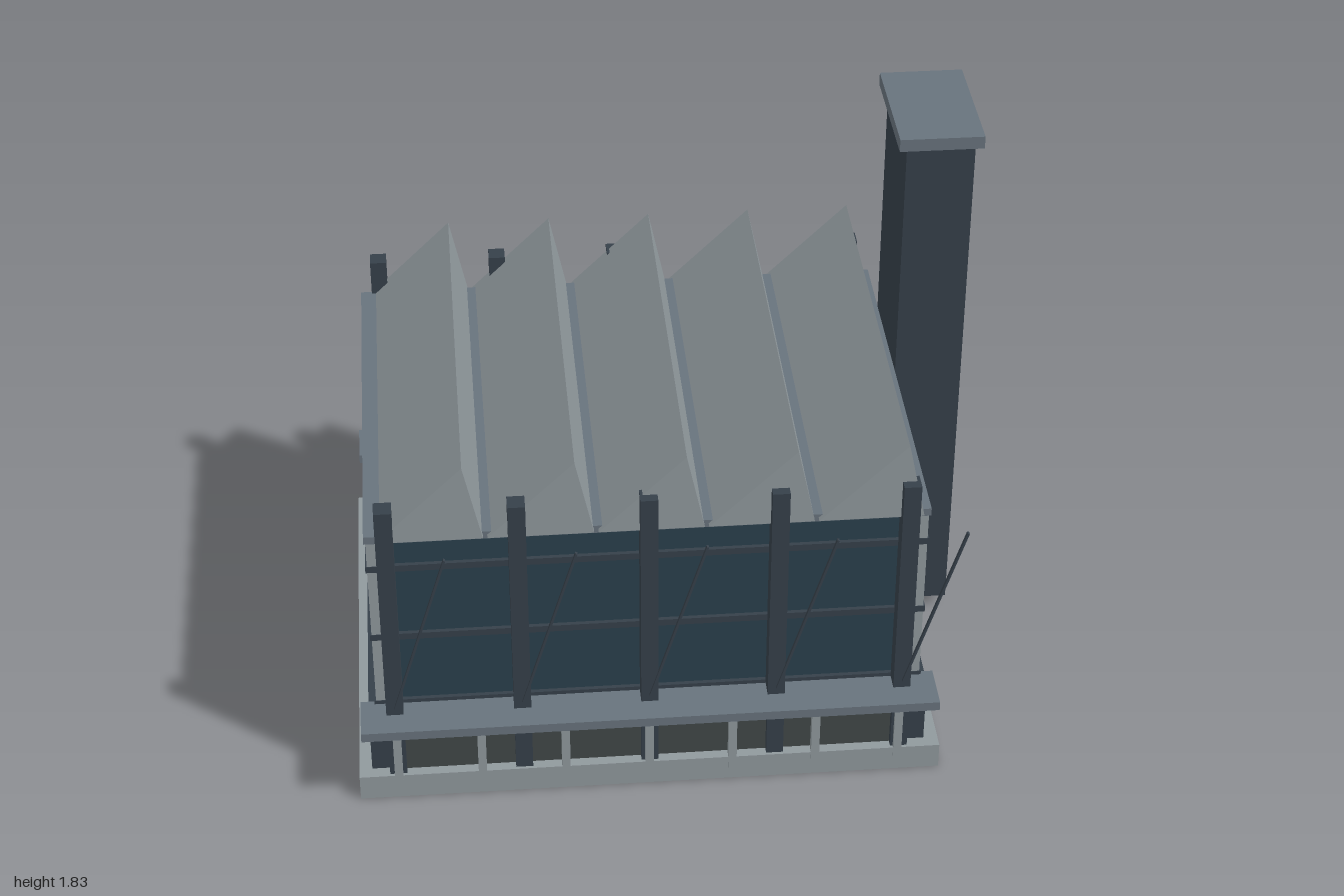
import * as THREE from 'three';

const mat = (color) => new THREE.MeshStandardMaterial({ color });

export function createModel() {
  const model = new THREE.Group();
  model.name = 'factory';
  const pale = mat(0x90999d), slate = mat(0x68737d), dark = mat(0x36404a);
  const glass = mat(0x2a404c), pane = mat(0x414747);

  // Box given by its extents on each axis
  const box = (name, material, [x0, x1], [y0, y1], [z0, z1], parent = model) => {
    const mesh = new THREE.Mesh(new THREE.BoxGeometry(x1 - x0, y1 - y0, z1 - z0), material);
    mesh.position.set((x0 + x1) / 2, (y0 + y1) / 2, (z0 + z1) / 2);
    mesh.name = name;
    parent.add(mesh);
    return mesh;
  };
  const around = (c, size) => [c - size / 2, c + size / 2];

  // Foundation, ground storey and glazed upper storey
  box('foundation', pale, [-0.997, 0.822], [0, 0.086], [-0.735, 0.735]);
  box('groundStorey', dark, [-0.957, 0.777], [0.08, 0.31], [-0.695, 0.695]);
  box('glazedStorey', glass, [-0.922, 0.746], [0.3, 0.955], [-0.656, 0.656]);
  box('eaves', slate, [-0.937, 0.761], [0.947, 0.973], [-0.677, 0.677]);

  // Horizontal bands wrapping the glazing
  for (const y of [0.326, 0.585, 0.845]) {
    box('glazingBand', dark, [-0.937, 0.761], around(y, 0.022), [-0.669, 0.669]);
  }

  // Corner posts of the glazing
  for (const x of [-0.917, 0.741]) {
    for (const z of [-0.653, 0.653]) {
      box('cornerPost', pale, around(x, 0.03), [0.3, 0.955], around(z, 0.028));
    }
  }

  // Parts repeated on the front and back
  for (const s of [1, -1]) {
    const side = new THREE.Group();
    side.name = s > 0 ? 'frontFacade' : 'backFacade';
    model.add(side);
    const span = (a, b) => (s > 0 ? [a, b] : [-b, -a]);

    box('ledge', slate, [-0.98, 0.8], [0.293, 0.324], span(0.655, 0.808), side);
    box('groundWindow', pane, [-0.875, 0.687], [0.086, 0.293], span(0.69, 0.702), side);

    // Slender posts under the ledge
    for (let i = 0; i < 7; i++) {
      box('ledgePost', pale, around(-0.874 + i * 0.2603, 0.026), [0.045, 0.3], span(0.712, 0.738), side);
    }

    // Tall columns, each with a leaning brace rod
    for (let i = 0; i < 5; i++) {
      const x = -0.875 + i * 0.392;
      box('column', dark, around(x, 0.053), [0.08, 1.09], span(0.667, 0.725), side);
      const brace = new THREE.Mesh(new THREE.BoxGeometry(0.007, 0.588, 0.012), dark);
      brace.name = 'braceRod';
      brace.position.set(x + 0.088, 0.632, s * 0.727);
      brace.rotation.z = -Math.atan2(0.172, 0.562);
      side.add(brace);
    }
  }

  // Sawtooth roof
  const tooth = new THREE.Shape();
  tooth.moveTo(-0.262, 0);
  tooth.lineTo(0.055, 0);
  tooth.lineTo(0, 0.257);
  tooth.closePath();
  const toothGeometry = new THREE.ExtrudeGeometry(tooth, { depth: 1.388, bevelEnabled: false });
  for (let i = 0; i < 5; i++) {
    const mesh = new THREE.Mesh(toothGeometry, pale);
    mesh.name = 'roofTooth';
    mesh.position.set(-0.638 + i * 0.33, 0.961, -0.694);
    model.add(mesh);
  }

  // Chimney beside the right-hand end wall
  box('chimney', dark, [0.762, 0.974], [0.046, 1.79], [-0.452, -0.066]);
  box('chimneyCap', slate, [0.737, 0.998], [1.787, 1.828], [-0.476, -0.046]);

  return model;
}
